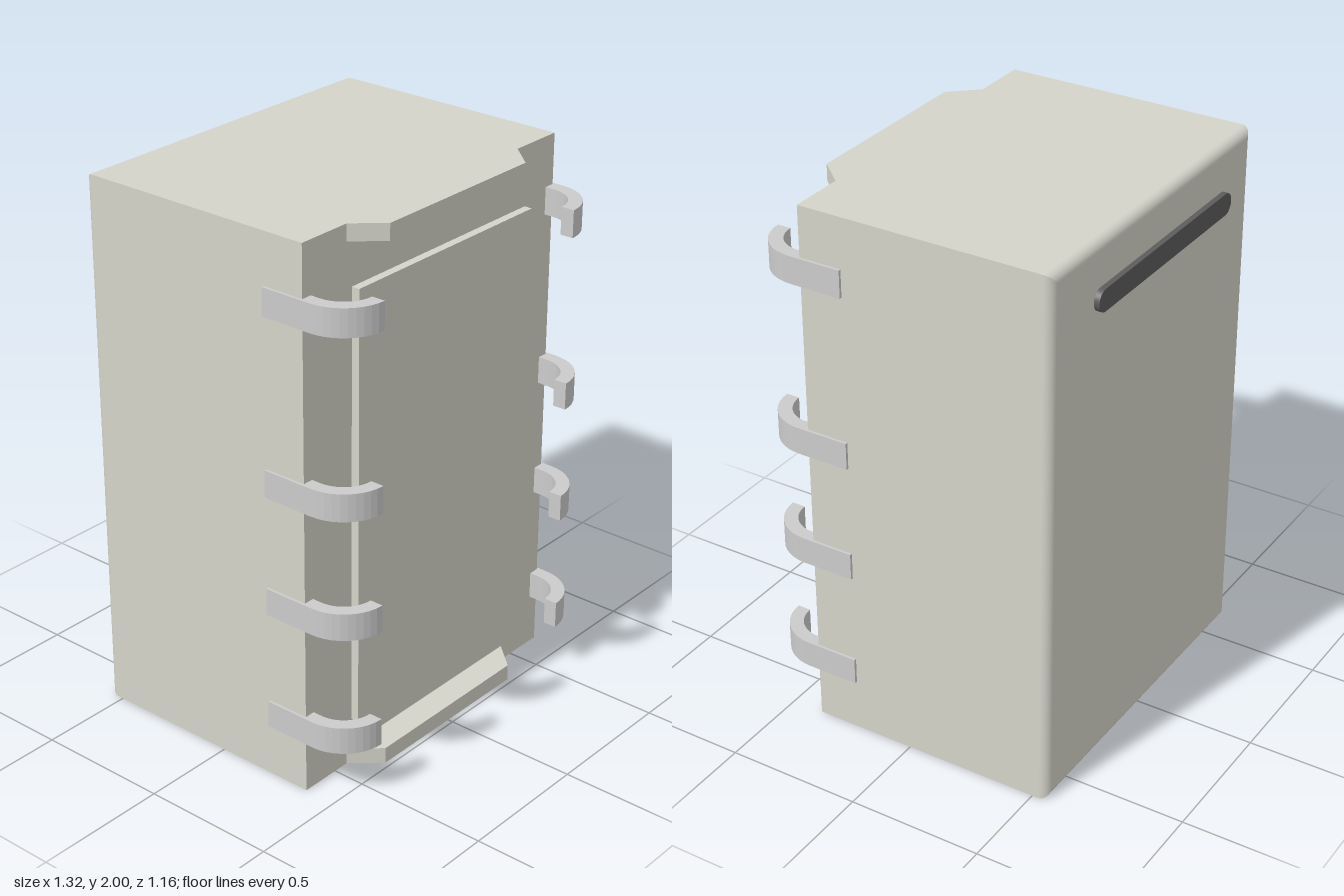
import * as THREE from 'three';

const bodyMat = new THREE.MeshStandardMaterial({ color: 0xd5d4ca, side: THREE.DoubleSide });
const strapMat = new THREE.MeshStandardMaterial({ color: 0xcccccc });
const handleMat = new THREE.MeshStandardMaterial({ color: 0x5c5c5c });

const W = 0.65, H = 1, FRONT = 0.38, BACK = -0.56, R = 0.035;

function add(parent, name, geometry, material, x = 0, y = 0, z = 0) {
  const mesh = new THREE.Mesh(geometry, material);
  mesh.name = name;
  mesh.position.set(x, y, z);
  parent.add(mesh);
}

// Upright prism from a plan outline of [x, z] points
function prism(points, height) {
  const shape = new THREE.Shape(points.map(([x, z]) => new THREE.Vector2(x, -z)));
  return new THREE.ExtrudeGeometry(shape, { depth: height, bevelEnabled: false }).rotateX(-Math.PI / 2);
}

// Cabinet: square front, back edges rounded and mitred at the corners
function cabinetGeometry() {
  const rings = [{ inset: 0, z: FRONT, a: Math.PI / 2 }];
  for (let i = 8; i >= 0; i--) {
    const a = (i / 8) * Math.PI / 2;
    rings.push({ inset: R * (1 - Math.sin(a)), z: BACK + R * (1 - Math.cos(a)), a });
  }
  const pos = [], nor = [], idx = [];
  const corners = [[1, -1], [1, 1], [-1, 1], [-1, -1]];
  const normals = [[1, 0], [0, 1], [-1, 0], [0, -1]];
  normals.forEach(([nx, ny], side) => {
    const base = pos.length / 3;
    rings.forEach(({ inset, z, a }, k) => {
      for (const c of [corners[side], corners[(side + 1) % 4]]) {
        pos.push(c[0] * (W - inset), c[1] * (H - inset), z);
        nor.push(nx * Math.sin(a), ny * Math.sin(a), -Math.cos(a));
      }
      if (k > 0) {
        const p = base + 2 * (k - 1);
        idx.push(p, p + 2, p + 1, p + 1, p + 2, p + 3);
      }
    });
  });
  // Flat front and back
  for (const [z, inset, n] of [[FRONT, 0, 1], [BACK, R, -1]]) {
    const b = pos.length / 3;
    for (const c of corners) {
      pos.push(c[0] * (W - inset), c[1] * (H - inset), z);
      nor.push(0, 0, n);
    }
    if (n > 0) idx.push(b, b + 1, b + 2, b, b + 2, b + 3);
    else idx.push(b, b + 2, b + 1, b, b + 3, b + 2);
  }
  const g = new THREE.BufferGeometry();
  g.setAttribute('position', new THREE.Float32BufferAttribute(pos, 3));
  g.setAttribute('normal', new THREE.Float32BufferAttribute(nor, 3));
  g.setIndex(idx);
  return g;
}

// Hook-shaped strap: straight along the side, then a quarter turn in front
function strapGeometry(side) {
  const cx = 0.495, cz = 0.415, outer = 0.165, inner = 0.115, n = 10;
  const points = [[cx + inner, 0.22], [cx + outer, 0.22]];
  const arc = (r, i) => {
    const a = (i / n) * Math.PI / 2;
    points.push([cx + r * Math.cos(a), cz + r * Math.sin(a)]);
  };
  for (let i = 0; i <= n; i++) arc(outer, i);
  for (let i = n; i >= 0; i--) arc(inner, i);
  return prism(points.map(([x, z]) => [side * x, z]), 0.1);
}

// Long rounded bar lying along x
function handleGeometry(length, height, depth) {
  const r = height / 2, e = length / 2 - r;
  const shape = new THREE.Shape();
  shape.absarc(e, 0, r, -Math.PI / 2, Math.PI / 2);
  shape.absarc(-e, 0, r, Math.PI / 2, Math.PI * 1.5);
  return new THREE.ExtrudeGeometry(shape, { depth, bevelEnabled: false, curveSegments: 16 });
}

export function createModel() {
  const model = new THREE.Group();
  model.name = 'cabinet';

  add(model, 'body', cabinetGeometry(), bodyMat, 0, H, 0);

  // Door panel standing just off the front
  add(model, 'frontPanel', new THREE.BoxGeometry(0.9, 1.6, 0.03), bodyMat, 0, 1, 0.425);

  // Tapered lips at the bottom and top of the front
  const lip = prism([[-0.44, FRONT], [-0.35, 0.48], [0.35, 0.48], [0.44, FRONT]], 0.06);
  add(model, 'bottomLip', lip, bodyMat, 0, 0, 0);
  add(model, 'topLip', lip, bodyMat, 0, 1.94, 0);

  // Four straps on each side
  for (const side of [1, -1]) {
    const strap = strapGeometry(side);
    for (const y of [0.195, 0.635, 1.075, 1.715]) {
      add(model, side > 0 ? 'leftStrap' : 'rightStrap', strap, strapMat, 0, y, 0);
    }
  }

  // Bar on the back
  add(model, 'backHandle', handleGeometry(0.88, 0.08, 0.04), handleMat, -0.04, 1.8, -0.58);

  return model;
}
